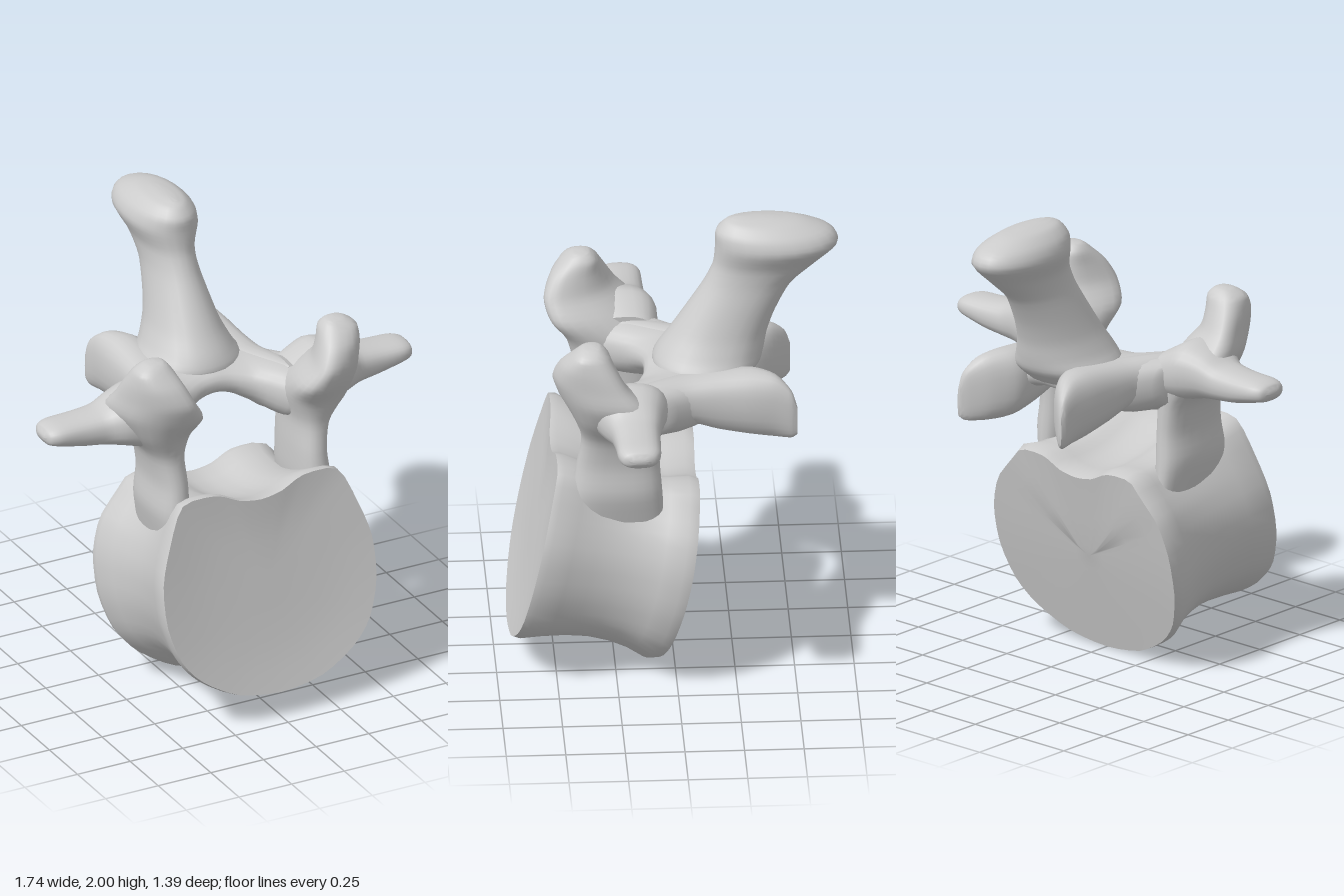
import * as THREE from 'three';
import { toCreasedNormals } from 'three/addons/utils/BufferGeometryUtils.js';

const material = new THREE.MeshStandardMaterial({ color: 0xcccccc });

// Closed skin over rings of equal length, capped at both ends.
function skin(name, rings) {
  const n = rings[0].length, m = rings.length;
  const verts = rings.flat();
  const index = [];
  for (let i = 0; i < m - 1; i++) {
    for (let k = 0; k < n; k++) {
      const a = i * n + k, b = i * n + (k + 1) % n;
      index.push(a, b, b + n, a, b + n, a + n);
    }
  }
  const centre = ring => ring.reduce((s, p) => s.add(p), new THREE.Vector3()).divideScalar(n);
  verts.push(centre(rings[0]), centre(rings[m - 1]));
  for (let k = 0; k < n; k++) {
    const next = (k + 1) % n, last = (m - 1) * n;
    index.push(m * n, next, k, m * n + 1, last + k, last + next);
  }
  // Turn the faces outward if the enclosed volume is negative
  let volume = 0;
  const cross = new THREE.Vector3();
  for (let i = 0; i < index.length; i += 3) {
    cross.crossVectors(verts[index[i + 1]], verts[index[i + 2]]);
    volume += verts[index[i]].dot(cross);
  }
  if (volume < 0) index.reverse();
  const geometry = new THREE.BufferGeometry().setFromPoints(verts);
  geometry.setIndex(index);
  const mesh = new THREE.Mesh(toCreasedNormals(geometry, 0.9), material);
  mesh.name = name;
  return mesh;
}

// Rounded loft; each station is [centre, half axis u, half axis v]. A power below 1 squares the section.
function loft(name, stations, side = 1, power = 0.8, steps = 4, sides = 24) {
  const curves = [0, 1, 2].map(j => new THREE.CatmullRomCurve3(
    stations.map(s => new THREE.Vector3(s[j][0] * side, s[j][1], s[j][2])), false, 'catmullrom', 0.4));
  const count = (stations.length - 1) * steps;
  const shape = w => Math.sign(w) * Math.abs(w) ** power;
  const rings = [];
  for (let i = 0; i <= count; i++) {
    const [c, u, v] = curves.map(curve => curve.getPoint(i / count));
    rings.push(Array.from({ length: sides }, (_, k) => {
      const a = k / sides * Math.PI * 2;
      return c.clone().addScaledVector(u, shape(Math.cos(a))).addScaledVector(v, shape(Math.sin(a)));
    }));
  }
  return skin(name, rings);
}

// Stations lying flat in one plane: horizontal (y), lengthwise (z) or crosswise (x)
const flatY = (y, x, z, rx, rz) => [[x, y, z], [rx, 0, 0], [0, 0, rz]];
const flatZ = (z, x, y, rx, ry) => [[x, y, z], [rx, 0, 0], [0, ry, 0]];
const flatX = (x, y, z, ry, rz) => [[x, y, z], [0, ry, 0], [0, 0, rz]];

// Drum-like body with a notched top, a narrow waist and hollow end faces
function makeBody() {
  const half = [[0.1, 0.965], [0.21, 1.01], [0.37, 1.0], [0.45, 0.84], [0.5, 0.68], [0.5, 0.5],
    [0.45, 0.34], [0.36, 0.235], [0.2, 0.145]];
  const outline = [[0, 0.95], ...half, [0, 0.115], ...half.map(([x, y]) => [-x, y]).reverse()];
  const points = new THREE.CatmullRomCurve3(
    outline.map(([x, y]) => new THREE.Vector3(x, y, 0)), true, 'catmullrom', 0.4).getPoints(60).slice(0, 60);
  const ring = (t, scale, inset = 0) => points.map(p => {
    // The rear end is lower and has rounder upper corners
    const corner = t * THREE.MathUtils.smoothstep(p.y, 0.8, 1);
    const x = p.x * scale * (1 - 0.12 * corner);
    const y = 0.55 + (p.y - 0.55) * scale, yBack = y - 0.12;
    const front = 0.5 + 0.22 * (1 - y);
    const back = 0.1 - 0.23 * yBack - 0.2 * yBack * (0.87 - yBack);
    return new THREE.Vector3(x, y - 0.12 * t - 0.025 * corner, THREE.MathUtils.lerp(front, back, t) + inset);
  });
  return skin('vertebralBody', [
    ring(0, 0.15, -0.02), ring(0, 0.5, -0.02), ring(0, 0.8, -0.01), ring(0, 0.99),
    ring(0.05, 1), ring(0.2, 0.95), ring(0.35, 0.91), ring(0.5, 0.89), ring(0.65, 0.9),
    ring(0.8, 0.94), ring(0.93, 1), ring(1, 0.985),
    ring(1, 0.8, 0.01), ring(1, 0.5, 0.02), ring(1, 0.15, 0.025),
  ]);
}

// Paired parts on one side
function makeSide(side) {
  const group = new THREE.Group();
  group.name = side > 0 ? 'leftWing' : 'rightWing';
  group.add(
    // Pedicle flaring into the upper joint
    loft('pedicleAndUpperJoint', [
      flatY(0.75, 0.33, 0.25, 0.05, 0.2),
      flatY(0.9, 0.335, 0.25, 0.075, 0.19),
      flatY(1.03, 0.33, 0.245, 0.07, 0.175),
      flatY(1.16, 0.345, 0.235, 0.08, 0.165),
      [[0.375, 1.27, 0.25], [0.13, 0, 0.01], [-0.02, 0, 0.18]],
      [[0.405, 1.37, 0.31], [0.155, 0, -0.03], [-0.045, 0, 0.18]],
      [[0.425, 1.46, 0.365], [0.12, 0, -0.03], [-0.04, 0, 0.15]],
      [[0.435, 1.54, 0.375], [0.1, 0, -0.015], [-0.02, 0, 0.115]],
      [[0.438, 1.6, 0.365], [0.08, 0, 0], [0, 0, 0.075]],
      [[0.43, 1.63, 0.36], [0.045, 0, 0], [0, 0, 0.04]],
      [[0.43, 1.637, 0.355], [0.01, 0, 0], [0, 0, 0.01]],
    ], side),
    // Sideways arm
    loft('transverseArm', [
      flatX(0.3, 1.28, 0.18, 0.1, 0.13),
      flatX(0.42, 1.315, 0.2, 0.13, 0.16),
      flatX(0.52, 1.315, 0.2, 0.105, 0.135),
      flatX(0.6, 1.3, 0.185, 0.078, 0.105),
      flatX(0.7, 1.3, 0.18, 0.065, 0.095),
      flatX(0.81, 1.31, 0.18, 0.048, 0.09),
      flatX(0.855, 1.31, 0.18, 0.035, 0.07),
      flatX(0.872, 1.31, 0.18, 0.01, 0.03),
    ], side),
    // Backward blade of the lower joint
    loft('lowerJointBlade', [
      flatZ(0.2, 0.32, 1.25, 0.06, 0.11),
      flatZ(0.08, 0.27, 1.245, 0.085, 0.12),
      flatZ(-0.05, 0.215, 1.265, 0.1, 0.1),
      flatZ(-0.18, 0.205, 1.25, 0.1, 0.125),
      flatZ(-0.32, 0.205, 1.24, 0.1, 0.145),
      flatZ(-0.42, 0.235, 1.23, 0.066, 0.14),
      flatZ(-0.485, 0.27, 1.205, 0.03, 0.11),
      flatZ(-0.51, 0.285, 1.18, 0.008, 0.065),
    ], side),
  );
  return group;
}

export function createModel() {
  const model = new THREE.Group();
  model.name = 'vertebra';
  model.add(makeBody(), makeSide(1), makeSide(-1));

  // Arch roofing the canal between both sides
  const archHalf = [
    flatX(0.37, 1.26, 0.17, 0.1, 0.14),
    flatX(0.27, 1.245, 0.09, 0.115, 0.22),
    flatX(0.17, 1.265, -0.04, 0.095, 0.22),
    flatX(0.08, 1.29, -0.08, 0.075, 0.21),
  ];
  const mirrored = archHalf.map(([c, u, v]) => [[-c[0], c[1], c[2]], u, v]).reverse();
  model.add(loft('lamina', [...archHalf, flatX(0, 1.3, -0.09, 0.07, 0.21), ...mirrored]));

  // Upright spine with a spreading foot and a swept, swollen tip
  model.add(loft('spine', [
    flatY(1.28, 0, -0.13, 0.19, 0.17),
    flatY(1.34, 0, -0.14, 0.22, 0.225),
    flatY(1.4, 0, -0.16, 0.185, 0.225),
    flatY(1.48, 0, -0.195, 0.15, 0.205),
    flatY(1.58, 0, -0.245, 0.125, 0.19),
    flatY(1.7, 0, -0.315, 0.104, 0.185),
    flatY(1.79, 0, -0.385, 0.11, 0.215),
    flatY(1.88, 0, -0.437, 0.148, 0.257),
    flatY(1.94, 0, -0.425, 0.13, 0.243),
    flatY(1.985, 0, -0.385, 0.08, 0.165),
    flatY(2.0, 0, -0.34, 0.025, 0.08),
  ], 1, 0.95));
  return model;
}
